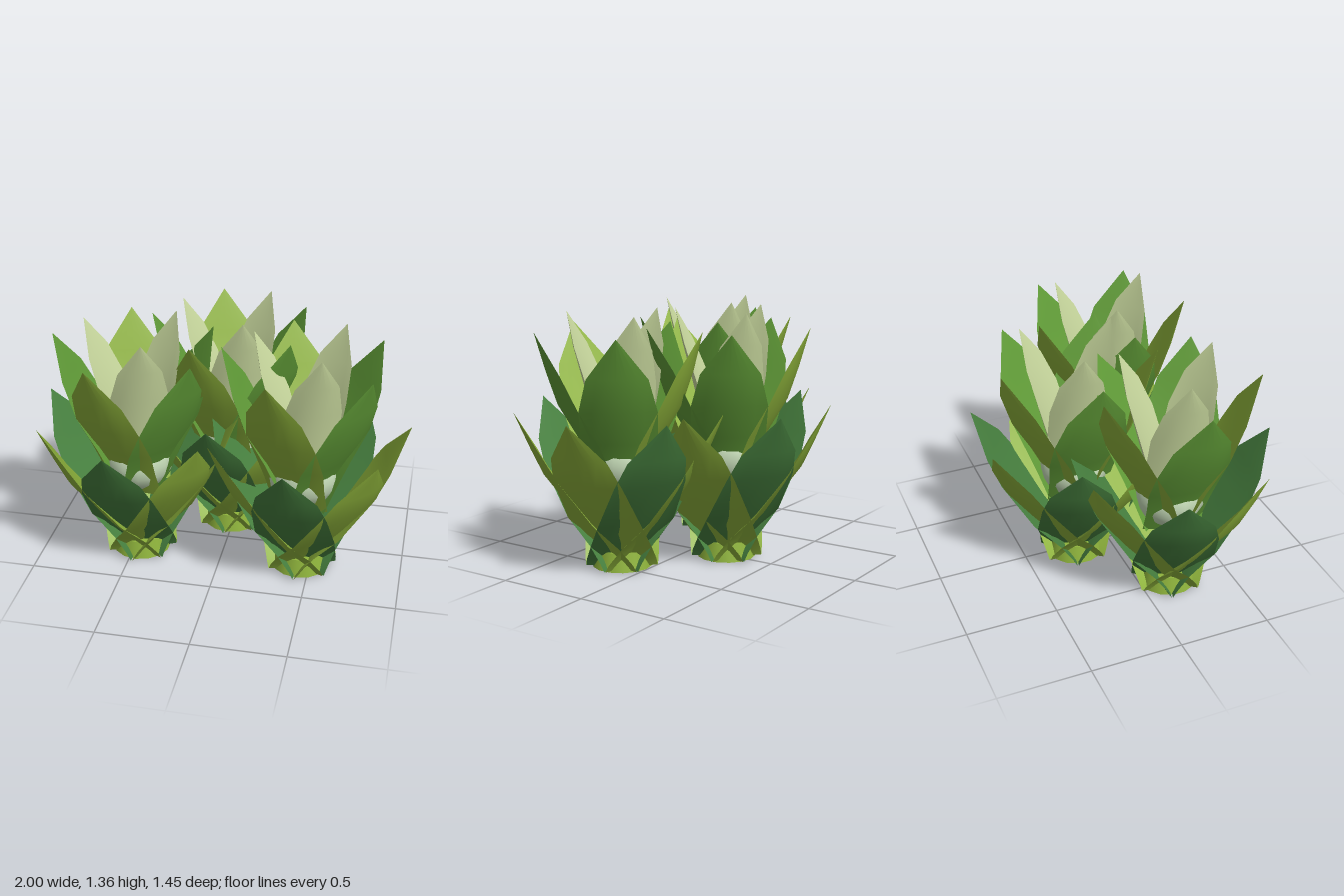
import * as THREE from 'three';

const COLUMNS = 6;

// Cross-sections from base to tip: [height, distance from axis, half width, cup depth]
const RINGS = [
  {
    name: 'outerLeaf', count: 7, start: 42, colors: ['olive', 'darkGreen'],
    rows: [[0.01, 0.03, 0.192, 0.07], [0.05, 0.06, 0.196, 0.08], [0.14, 0.13, 0.2, 0.08], [0.28, 0.235, 0.217, 0.045],
      [0.52, 0.41, 0.198, 0.045], [0.66, 0.475, 0.16, 0.03], [0.86, 0.56, 0, 0]],
  },
  {
    name: 'middleLeaf', count: 5, start: 37, colors: ['midGreen', 'olive'],
    rows: [[0.4, 0.08, 0.17, 0.04], [0.56, 0.15, 0.18, 0.04], [0.7, 0.22, 0.197, 0.05],
      [0.88, 0.325, 0.2, 0.05], [1.06, 0.385, 0.155, 0.03], [1.27, 0.45, 0, 0]],
  },
  {
    name: 'innerLeaf', count: 3, start: 68, colors: ['paleGreen'],
    rows: [[0.5, 0.07, 0.15, 0.04], [0.8, 0.14, 0.16, 0.06], [1.0, 0.19, 0.155, 0.05],
      [1.18, 0.24, 0.115, 0.03], [1.36, 0.285, 0, 0]],
  },
];

// Plump leaf pointing along +z: an outer and an inner skin that meet along the edges
function leafGeometry(rows) {
  const positions = [];
  const index = [];
  for (const inner of [false, true]) {
    const first = positions.length / 3;
    rows.forEach(([y, r, halfWidth, cup], j) => {
      const bulge = inner ? halfWidth * 0.22 : 0;
      for (let i = 0; i <= COLUMNS; i++) {
        const s = (i / COLUMNS) * 2 - 1;
        positions.push(s * halfWidth, y, r - cup * s * s - bulge * (1 - s * s));
        if (i < COLUMNS && j < rows.length - 1) {
          const a = first + j * (COLUMNS + 1) + i;
          const b = a + 1;
          const c = b + COLUMNS + 1;
          const d = a + COLUMNS + 1;
          if (inner) index.push(a, c, b, a, d, c);
          else index.push(a, b, c, a, c, d);
        }
      }
    });
  }
  const geometry = new THREE.BufferGeometry();
  geometry.setAttribute('position', new THREE.Float32BufferAttribute(positions, 3));
  geometry.setIndex(index);
  geometry.computeVertexNormals();
  return geometry;
}

function material(name, color) {
  const m = new THREE.MeshStandardMaterial({ color, side: THREE.DoubleSide });
  m.name = name;
  return m;
}

export function createModel() {
  const materials = {
    olive: material('olive', 0x8fb43c),
    darkGreen: material('darkGreen', 0x47803f),
    midGreen: material('midGreen', 0x619c38),
    paleGreen: material('paleGreen', 0xcbdba0),
    mint: material('mint', 0xc8deba),
  };
  const leafShapes = RINGS.map((ring) => leafGeometry(ring.rows));
  const stemShape = new THREE.CylinderGeometry(0.14, 0.16, 0.1, 14);
  const heartShape = new THREE.SphereGeometry(0.19, 14, 10);

  function createPlant() {
    const plant = new THREE.Group();
    plant.name = 'plant';

    // Rings of leaves, colours alternating around each ring
    RINGS.forEach((ring, k) => {
      for (let i = 0; i < ring.count; i++) {
        const leaf = new THREE.Mesh(leafShapes[k], materials[ring.colors[i % ring.colors.length]]);
        leaf.name = ring.name;
        leaf.rotation.y = THREE.MathUtils.degToRad(90 - ring.start - (i * 360) / ring.count);
        plant.add(leaf);
      }
    });

    // Short stem closing the base
    const stem = new THREE.Mesh(stemShape, materials.olive);
    stem.name = 'stem';
    stem.position.y = 0.05;
    plant.add(stem);

    // Pale heart between the leaves
    const heart = new THREE.Mesh(heartShape, materials.mint);
    heart.name = 'heart';
    heart.position.y = 0.58;
    plant.add(heart);
    return plant;
  }

  // Cluster of three plants
  const cluster = new THREE.Group();
  cluster.name = 'succulentCluster';
  [[-0.465, 0.165], [0.445, 0.165], [-0.015, -0.205]].forEach(([x, z]) => {
    const plant = createPlant();
    plant.position.set(x, 0, z);
    cluster.add(plant);
  });
  return cluster;
}
